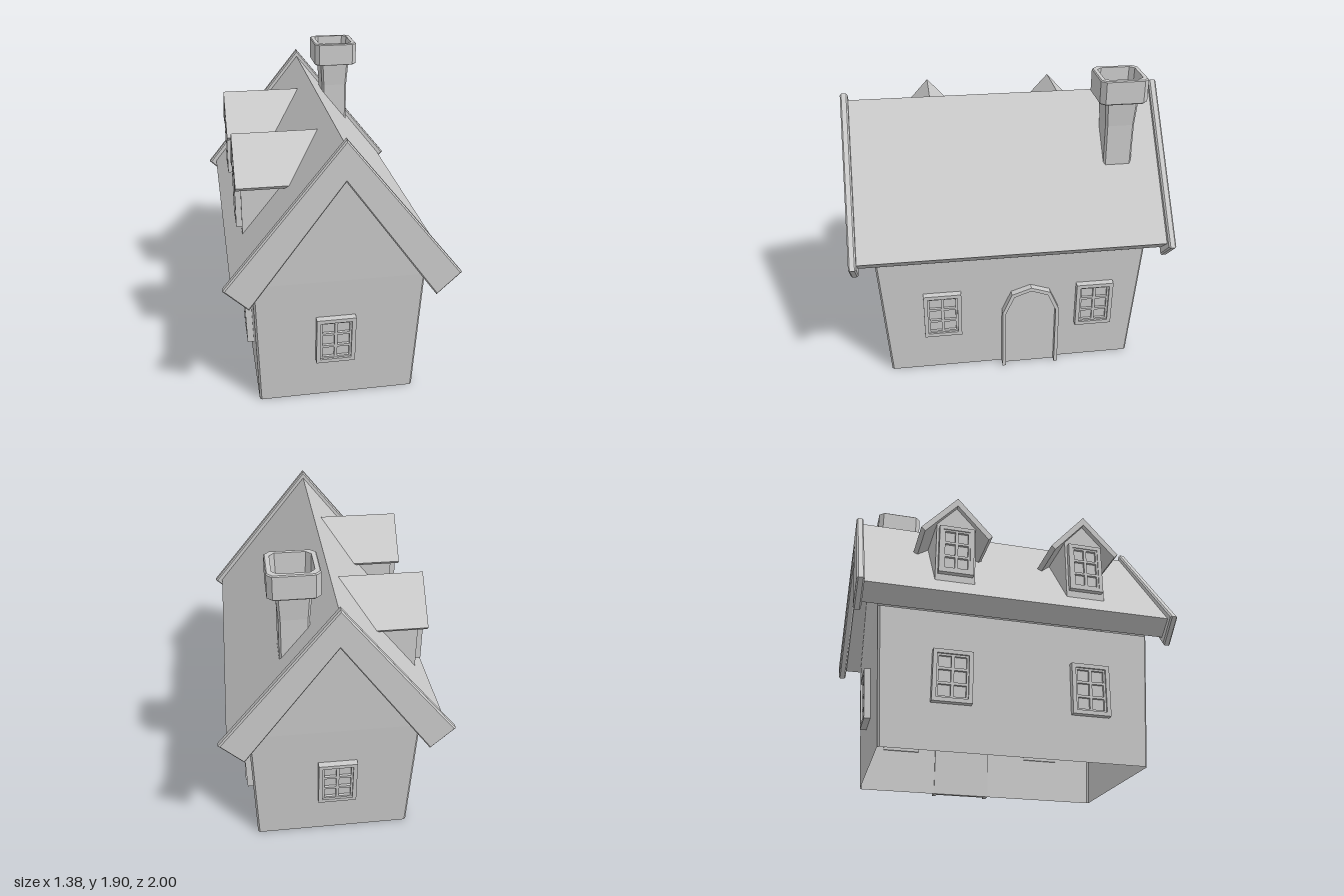
import * as THREE from 'three';

const grey = new THREE.MeshStandardMaterial({ color: 0xcccccc, flatShading: true });
const greyThin = new THREE.MeshStandardMaterial({ color: 0xcccccc, flatShading: true, side: THREE.DoubleSide });

function add(parent, name, geometry, material = grey) {
  const mesh = new THREE.Mesh(geometry, material);
  mesh.name = name;
  parent.add(mesh);
  return mesh;
}

const shapeOf = (points) => new THREE.Shape(points.map(([x, y]) => new THREE.Vector2(x, y)));

// Extrudes an outline between two z positions, with an optional hole and bevel
function slab(points, z0, z1, { hole, bevel = 0 } = {}) {
  const shape = shapeOf(points);
  if (hole) shape.holes.push(shapeOf(hole));
  const g = new THREE.ExtrudeGeometry(shape, {
    depth: z1 - z0 - 2 * bevel, bevelEnabled: bevel > 0, bevelSize: bevel,
    bevelThickness: bevel, bevelOffset: -bevel, bevelSegments: 1,
  });
  return g.translate(0, 0, z0 + bevel);
}

// Mirrors a right-hand half outline (apex last on the axis) into a full outline
const mirrored = (half) => [...half, ...half.slice(0, -1).reverse().map(([x, y]) => [-x, y])];

const rect = (w, h) => [[-w / 2, -h / 2], [w / 2, -h / 2], [w / 2, h / 2], [-w / 2, h / 2]];

// Inverted V: outer apex, outer tip, lower tip, inner apex
const chevron = (top, [ox, oy], [ix, iy], inner) =>
  [[0, top], [-ox, oy], [-ix, iy], [0, inner], [ix, iy], [ox, oy]];

// Rectangle with chamfered corners at height y
function ring([y, hx, hz, c]) {
  return [
    [hx, -hz + c], [hx, hz - c], [hx - c, hz], [-hx + c, hz],
    [-hx, hz - c], [-hx, -hz + c], [-hx + c, -hz], [hx - c, -hz],
  ].map(([x, z]) => [x, y, z]);
}

// Joins chamfered rings into a skin; extra triangles may be added
function loft(sections, extra = [], closeEnd = false) {
  const rings = sections.map(ring);
  const tris = [];
  for (let k = 0; k < rings.length - 1; k++) {
    for (let i = 0; i < 8; i++) {
      const j = (i + 1) % 8;
      const [a, b, c, d] = [rings[k][i], rings[k][j], rings[k + 1][j], rings[k + 1][i]];
      tris.push(a, d, c, a, c, b);
    }
  }
  if (closeEnd) {
    const last = rings[rings.length - 1];
    for (let i = 0; i < 8; i++) tris.push([0, last[0][1], 0], last[(i + 1) % 8], last[i]);
  }
  tris.push(...extra);
  const g = new THREE.BufferGeometry();
  g.setAttribute('position', new THREE.Float32BufferAttribute(tris.flat(), 3));
  g.computeVertexNormals();
  return g;
}

// Framed window with two by three panes, facing +z
function makeWindow(w, h, depth = 0.04) {
  const win = new THREE.Group();
  win.name = 'window';
  const iw = w - 0.05, ih = h - 0.05;
  add(win, 'windowFrame', slab(rect(w, h), -0.01, depth, { hole: rect(iw, ih) }));
  add(win, 'windowGlass', new THREE.BoxGeometry(iw, ih, 0.02)).position.z = 0.002;
  const bar = (bw, bh, x, y) =>
    add(win, 'windowBar', new THREE.BoxGeometry(bw, bh, 0.02)).position.set(x, y, 0.018);
  bar(0.018, ih, 0, 0);
  for (const s of [-1, 1]) {
    bar(iw, 0.016, 0, s * ih / 6);
    bar(0.012, ih, s * (iw / 2 - 0.006), 0);
    bar(iw, 0.012, 0, s * (ih / 2 - 0.006));
  }
  return win;
}

// Dormer facing +z; its back end follows the slope of the main roof
function makeDormer() {
  const dormer = new THREE.Group();
  dormer.name = 'dormer';
  const fitToRoof = (g) => {
    const p = g.attributes.position;
    for (let i = 0; i < p.count; i++) {
      if (p.getZ(i) < 0.01) p.setZ(i, (1.73 - p.getY(i)) / 1.25 - 0.004);
    }
    g.computeVertexNormals();
    return g;
  };
  add(dormer, 'dormerRoof',
    fitToRoof(slab(chevron(1.645, [0.228, 1.395], [0.203, 1.37], 1.59), 0, 0.575)));
  add(dormer, 'dormerWalls',
    fitToRoof(slab(mirrored([[0.125, 1.055], [0.125, 1.46], [0, 1.6]]), 0, 0.54)));
  const win = makeWindow(0.22, 0.33, 0.034);
  win.position.set(0, 1.265, 0.54);
  dormer.add(win);
  return dormer;
}

export function createModel() {
  const house = new THREE.Group();
  house.name = 'cottage';

  // Walls flaring outward, open below, with a gable at each end
  const c = 0.012, hx = 0.515, hz = 0.855, eave = 0.85;
  const gables = [1, -1].flatMap((s) => [
    [-s * (hx - c), eave, s * hz], [s * (hx - c), eave, s * hz], [0, 1.57, s * 0.885],
  ]);
  add(house, 'walls', loft([[0, 0.49, 0.8, c], [eave, hx, hz, c]], gables), greyThin);

  // Main roof and gable boards
  add(house, 'roof', slab(chevron(1.73, [0.64, 0.93], [0.54, 0.845], 1.56), -0.965, 0.965));
  const board = chevron(1.775, [0.688, 0.925], [0.545, 0.788], 1.535);
  for (const z of [-1, 0.953]) {
    add(house, 'gableBoard', slab(board, z, z + 0.047, { bevel: 0.009 }));
  }

  // Windows: position along the wall, facing angle and tilt
  const placeWindow = (x, z, turn, tilt) => {
    const win = makeWindow(0.24, 0.32);
    win.rotation.set(tilt, turn, 0, 'YXZ');
    win.position.set(x, 0.44, z);
    house.add(win);
  };
  placeWindow(-0.02, 0.828, 0, 0.065);
  placeWindow(-0.02, -0.828, Math.PI, 0.065);
  for (const z of [0.45, -0.54]) placeWindow(0.503, z, Math.PI / 2, 0.03);
  for (const z of [0.45, -0.4]) placeWindow(-0.503, z, -Math.PI / 2, 0.03);

  // Arched door on the +x side
  const door = new THREE.Group();
  door.name = 'door';
  const outer = mirrored([[0.185, 0], [0.185, 0.43], [0.125, 0.568], [0, 0.612]]);
  const inner = mirrored([[0.163, 0], [0.163, 0.425], [0.108, 0.548], [0, 0.588]]);
  const jamb = [...outer, ...inner.slice().reverse()];
  add(door, 'doorFrame', slab(jamb, 0.485, 0.552));
  add(door, 'doorPanel', slab(inner, 0.485, 0.515));
  door.rotation.y = Math.PI / 2;
  door.position.z = -0.12;
  house.add(door);

  // Two dormers on the -x slope
  for (const z of [-0.402, 0.445]) {
    const dormer = makeDormer();
    dormer.rotation.y = -Math.PI / 2;
    dormer.position.z = z;
    house.add(dormer);
  }

  // Chimney with a flared shaft and a hollow cap
  const chimney = add(house, 'chimney', loft([
    [1.33, 0.088, 0.088, 0.012], [1.6, 0.088, 0.09, 0.012], [1.757, 0.1, 0.102, 0.015],
    [1.755, 0.138, 0.14, 0.028], [1.762, 0.146, 0.146, 0.03], [1.899, 0.146, 0.146, 0.03],
    [1.905, 0.14, 0.14, 0.028], [1.905, 0.115, 0.118, 0.028], [1.77, 0.11, 0.113, 0.028],
  ], [], true), greyThin);
  chimney.position.set(0.225, 0, -0.693);

  return house;
}
